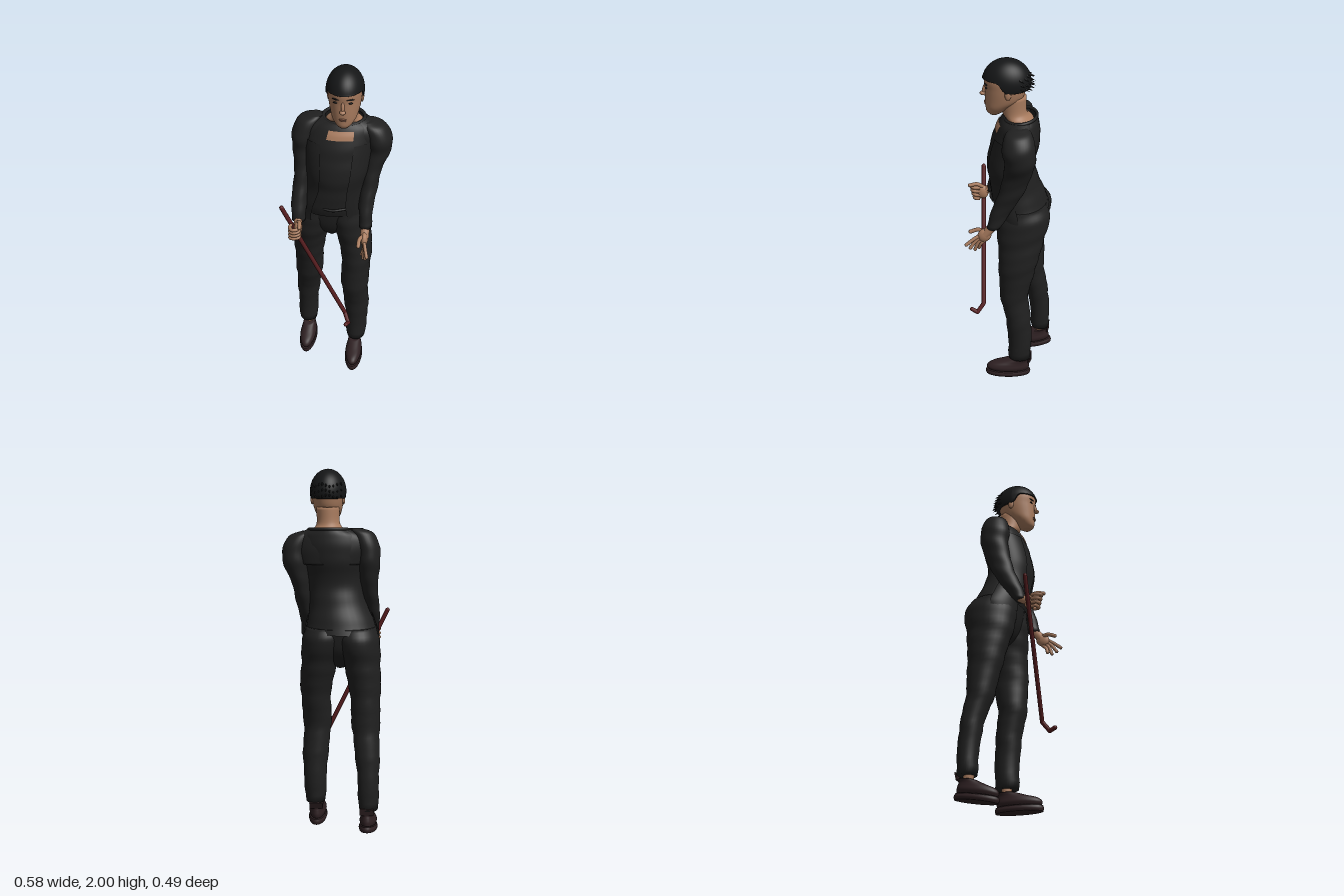
import * as THREE from 'three';
import { mergeVertices } from 'three/addons/utils/BufferGeometryUtils.js';

const mat = (name, color) => Object.assign(new THREE.MeshStandardMaterial({ color, side: THREE.DoubleSide }), { name });
const cloth = mat('black cloth', 0x202020);
const skin = mat('skin', 0xa87b5e);
const hairMat = mat('hair', 0x151617);
const leather = mat('brown leather', 0x2e2022);
const wood = mat('red wood', 0x551c1e);
const lipMat = mat('lips', 0x8c5e48);

const mesh = (parent, name, geo, material, pos = [0, 0, 0]) => {
  const m = new THREE.Mesh(geo, material);
  m.name = name;
  m.position.set(...pos);
  parent.add(m);
  return m;
};

const ball = (parent, name, material, pos, scale, seg = 20) => {
  const m = mesh(parent, name, new THREE.SphereGeometry(1, seg, seg * 0.7 | 0), material, pos);
  m.scale.set(...scale);
  return m;
};

// Smooth skin over elliptical sections [x, y, z, rx, rz], listed from low to high
function loft(rings, { a0 = 0, a1 = Math.PI * 2, grow = 0, fold = 0, bottom = true, top = true } = {}) {
  const N = 32, M = (rings.length - 1) * 6;
  const mid = new THREE.CatmullRomCurve3(rings.map(r => new THREE.Vector3(r[0], r[1], r[2])), false, 'catmullrom');
  const rad = new THREE.CatmullRomCurve3(rings.map(r => new THREE.Vector3(r[3], r[4], 0)), false, 'catmullrom');
  const pos = [], idx = [];
  for (let i = 0; i <= M; i++) {
    const c = mid.getPoint(i / M), r = rad.getPoint(i / M);
    for (let j = 0; j <= N; j++) {
      const a = a0 + (a1 - a0) * j / N;
      const g = grow + fold * Math.sin(c.y * 48 + 2 * Math.sin(a)) * Math.sin(c.y * 17 + 1);
      pos.push(c.x + (r.x + g) * Math.cos(a), c.y, c.z + (r.y + g) * Math.sin(a));
      if (i < M && j < N) {
        const p = i * (N + 1) + j, q = p + N + 1;
        idx.push(p, q, p + 1, p + 1, q, q + 1);
      }
    }
  }
  const cap = (ring, row, up) => {
    const centre = pos.length / 3;
    pos.push(ring[0], ring[1], ring[2]);
    for (let j = 0; j < N; j++) {
      const p = row * (N + 1) + j;
      idx.push(centre, ...(up ? [p + 1, p] : [p, p + 1]));
    }
  };
  if (bottom) cap(rings[0], 0, false);
  if (top) cap(rings[rings.length - 1], M, true);
  let g = new THREE.BufferGeometry();
  g.setAttribute('position', new THREE.Float32BufferAttribute(pos, 3));
  g.setIndex(idx);
  g = mergeVertices(g, 1e-5);
  g.computeVertexNormals();
  return g;
}

const tube = (points, r) => new THREE.TubeGeometry(
  new THREE.CatmullRomCurve3(points.map(p => new THREE.Vector3(...p))), 16, r, 10);

function finger(parent, name, points, r = 0.0095) {
  mesh(parent, name, tube(points, r), skin);
  ball(parent, name + 'Tip', skin, points[points.length - 1], [r, r, r], 10);
}

function addHead(model) {
  const head = new THREE.Group();
  head.name = 'head';
  model.add(head);
  const cx = 0.044;
  mesh(head, 'face', loft([
    [cx, 1.70, 0.085, 0.022, 0.022], [cx, 1.72, 0.078, 0.042, 0.047], [cx, 1.75, 0.063, 0.062, 0.066],
    [cx, 1.79, 0.036, 0.076, 0.096], [cx, 1.85, 0.026, 0.086, 0.106], [cx, 1.91, 0.024, 0.087, 0.11],
    [cx, 1.97, 0.02, 0.06, 0.07]]), skin);
  mesh(head, 'neck', loft([
    [0.032, 1.62, -0.05, 0.115, 0.07], [0.033, 1.672, -0.048, 0.096, 0.07],
    [0.038, 1.71, -0.02, 0.064, 0.064], [0.042, 1.80, -0.012, 0.062, 0.068]]), skin);
  ball(head, 'noseBridge', skin, [cx, 1.836, 0.134], [0.009, 0.032, 0.011], 14).rotation.x = -0.25;
  ball(head, 'noseTip', skin, [cx, 1.813, 0.143], [0.016, 0.011, 0.015], 14);
  ball(head, 'upperLip', lipMat, [cx, 1.766, 0.13], [0.021, 0.004, 0.007], 12);
  ball(head, 'lowerLip', lipMat, [cx, 1.758, 0.127], [0.017, 0.005, 0.008], 12);
  for (const s of [-1, 1]) {
    ball(head, 'eye', hairMat, [cx + s * 0.036, 1.857, 0.122], [0.014, 0.004, 0.006], 12);
    const brow = ball(head, 'brow', hairMat, [cx + s * 0.037, 1.877, 0.125], [0.02, 0.004, 0.006], 12);
    brow.rotation.y = s * 0.35;
    ball(head, 'ear', skin, [cx + s * 0.085, 1.84, 0.012], [0.009, 0.03, 0.017], 12);
  }
  // Hair dome, cut along a fringe that drops toward the nape
  const dome = new THREE.SphereGeometry(1, 40, 36).scale(0.098, 0.12, 0.125).translate(0.043, 1.88, 0.02);
  const p = dome.attributes.position;
  for (let i = 0; i < p.count; i++) {
    const rim = 1.903 - 0.058 * THREE.MathUtils.smoothstep(-p.getZ(i), -0.07, -0.02);
    p.setY(i, Math.max(p.getY(i), rim));
  }
  dome.computeVertexNormals();
  mesh(head, 'hair', dome, hairMat);
  for (let i = 0; i < 27; i++) {
    const u = (i % 9) / 4 - 1, row = i / 9 | 0;
    const tuft = mesh(head, 'hairTuft', new THREE.ConeGeometry(0.018, 0.075, 6), hairMat,
      [0.043 + u * 0.07, 1.865 + row * 0.028 + 0.006 * Math.sin(i * 5), -0.092 + 0.05 * u * u + row * 0.002]);
    tuft.rotation.set(-1.95, 0, -u * 0.35);
  }
}

function addJacket(model) {
  const body = [
    [-0.035, 1.13, -0.058, 0.2, 0.15], [-0.03, 1.2, -0.04, 0.178, 0.148], [-0.012, 1.3, -0.015, 0.152, 0.133],
    [0, 1.4, 0, 0.16, 0.128], [0.005, 1.5, -0.017, 0.17, 0.13], [0.01, 1.58, -0.032, 0.18, 0.122],
    [0.02, 1.65, -0.045, 0.165, 0.102], [0.03, 1.685, -0.052, 0.105, 0.085]];
  mesh(model, 'jacketBody', loft(body, { bottom: false, top: false, fold: 0.002 }), cloth);
  mesh(model, 'shoulderYoke', loft([
    [0.018, 1.5, -0.045, 0.19, 0.1], [0.018, 1.57, -0.042, 0.21, 0.106], [0.018, 1.62, -0.042, 0.208, 0.1],
    [0.02, 1.655, -0.045, 0.18, 0.09], [0.028, 1.685, -0.052, 0.115, 0.078]], { top: false }), cloth);
  // Open front panels reaching below the hem
  const panel = [[-0.035, 1.085, -0.055, 0.2, 0.142], ...body.slice(0, 6)];
  for (const [a0, a1] of [[0.1, 1.08], [2.06, 3.04]])
    mesh(model, 'jacketPanel', loft(panel, { a0, a1, grow: 0.007, bottom: false, top: false }), cloth);
  // Bare chest in the neckline and the band above it
  mesh(model, 'chest', loft([[0.0135, 1.607, -0.037, 0.176, 0.116], [0.017, 1.63, -0.041, 0.171, 0.111], [0.02, 1.651, -0.045, 0.165, 0.102]],
    { a0: 1.12, a1: 1.92, grow: 0.004, bottom: false, top: false }), skin);
  const collar = mesh(model, 'collar', new THREE.TorusGeometry(1, 0.09, 10, 40).scale(0.108, 0.084, 0.1), cloth, [0.03, 1.682, -0.052]);
  collar.rotation.x = Math.PI / 2 + 0.1;
  mesh(model, 'waistTie', tube([[-0.12, 1.19, 0.075], [-0.02, 1.185, 0.112], [0.06, 1.19, 0.095]], 0.007), cloth);
  // Sleeves with full shoulders
  mesh(model, 'leftSleeve', loft([
    [0.165, 1.085, 0.09, 0.034, 0.036], [0.163, 1.2, 0.04, 0.04, 0.055], [0.175, 1.3, -0.003, 0.046, 0.065],
    [0.187, 1.4, -0.035, 0.052, 0.072], [0.212, 1.5, -0.05, 0.068, 0.08], [0.213, 1.58, -0.045, 0.071, 0.086],
    [0.185, 1.645, -0.045, 0.063, 0.07], [0.15, 1.672, -0.045, 0.03, 0.04]], { fold: 0.0025 }), cloth);
  mesh(model, 'rightSleeve', loft([
    [-0.195, 1.115, 0.115, 0.038, 0.03], [-0.197, 1.2, 0.07, 0.042, 0.05], [-0.19, 1.3, 0.02, 0.044, 0.06],
    [-0.182, 1.4, -0.02, 0.05, 0.07], [-0.182, 1.5, -0.04, 0.061, 0.078], [-0.178, 1.58, -0.04, 0.066, 0.082],
    [-0.15, 1.66, -0.045, 0.06, 0.064], [-0.115, 1.688, -0.045, 0.035, 0.035]], { fold: 0.0025 }), cloth);
}

function addTrousers(model) {
  mesh(model, 'trouserSeat', loft([
    [-0.033, 0.935, -0.055, 0.025, 0.045], [-0.035, 0.98, -0.055, 0.09, 0.085],
    [-0.035, 1.05, -0.06, 0.165, 0.12], [-0.035, 1.16, -0.06, 0.19, 0.14]]), cloth);
  mesh(model, 'leftTrouserLeg', loft([
    [0.108, 0.16, -0.055, 0.055, 0.064], [0.11, 0.4, -0.05, 0.069, 0.07], [0.1, 0.6, -0.022, 0.077, 0.08],
    [0.106, 0.8, -0.04, 0.085, 0.105], [0.085, 0.95, -0.055, 0.1, 0.125], [0.06, 1.08, -0.067, 0.117, 0.147],
    [0.05, 1.16, -0.06, 0.11, 0.13]], { fold: 0.004 }), cloth);
  mesh(model, 'rightTrouserLeg', loft([
    [-0.198, 0.16, -0.175, 0.053, 0.054], [-0.192, 0.4, -0.16, 0.063, 0.06], [-0.177, 0.6, -0.115, 0.076, 0.076],
    [-0.17, 0.8, -0.09, 0.085, 0.1], [-0.153, 0.95, -0.075, 0.1, 0.125], [-0.13, 1.08, -0.077, 0.117, 0.147],
    [-0.12, 1.16, -0.06, 0.11, 0.13]], { fold: 0.004 }), cloth);
}

// Shoe of length len with its heel at z = 0 and its sole at y = 0
function addShoe(model, name, len, pos, tilt, yaw) {
  const shoe = new THREE.Group();
  shoe.name = name;
  mesh(shoe, 'sole', loft([
    [0, 0, len / 2, 0.047, len / 2 - 0.004], [0, 0.016, len / 2, 0.052, len / 2], [0, 0.032, len / 2, 0.047, len / 2 - 0.004]]), leather);
  mesh(shoe, 'upper', loft([
    [0, 0.034, len / 2, 0.042, len / 2 - 0.012], [0, 0.055, len / 2, 0.048, len / 2 - 0.008],
    [0, 0.076, len * 0.46, 0.043, len * 0.42], [0, 0.092, len * 0.36, 0.038, len * 0.31], [0, 0.11, len * 0.24, 0.036, len * 0.21]]), leather);
  mesh(shoe, 'ankle', new THREE.CylinderGeometry(0.028, 0.028, 0.09, 16), skin, [0, 0.13, len * 0.24]);
  const tab = mesh(shoe, 'heelTab', new THREE.BoxGeometry(0.075, 0.04, 0.009), leather, [0, 0.115, 0.005]);
  tab.rotation.x = -0.4;
  shoe.position.set(...pos);
  shoe.rotation.set(tilt, yaw, 0);
  model.add(shoe);
}

function addHands(model) {
  const left = new THREE.Group(), right = new THREE.Group();
  left.name = 'leftHand';
  right.name = 'rightHand';
  model.add(left, right);
  // Relaxed left hand
  mesh(left, 'wrist', tube([[0.165, 1.1, 0.085], [0.165, 1.07, 0.11], [0.165, 1.04, 0.135]], 0.024), skin);
  ball(left, 'palm', skin, [0.165, 1.035, 0.138], [0.02, 0.042, 0.036]).rotation.x = -0.6;
  const tips = [[0.188, 0.985, 0.236], [0.178, 0.96, 0.215], [0.165, 0.943, 0.19], [0.155, 0.95, 0.168]];
  tips.forEach((t, i) => finger(left, 'finger', [
    [0.166, 1.035 - i * 0.009, 0.16 - i * 0.01], [0.175 - i * 0.004, 1.015 - i * 0.012, 0.195 - i * 0.012], t]));
  finger(left, 'thumb', [[0.158, 1.055, 0.14], [0.142, 1.055, 0.175], [0.14, 1.04, 0.215]], 0.011);
  // Right hand closed around the cane
  mesh(right, 'wrist', tube([[-0.195, 1.13, 0.11], [-0.195, 1.115, 0.135], [-0.195, 1.105, 0.16]], 0.023), skin);
  ball(right, 'palm', skin, [-0.19, 1.1, 0.165], [0.022, 0.042, 0.034]);
  for (let i = 0; i < 4; i++) {
    const y = 1.13 - i * 0.023;
    finger(right, 'finger', [[-0.18, y, 0.18], [-0.182, y, 0.222 - i * 0.005], [-0.21, y - 0.004, 0.232 - i * 0.006],
      [-0.23, y - 0.006, 0.205], [-0.226, y - 0.006, 0.185]]);
  }
  finger(right, 'thumb', [[-0.19, 1.13, 0.16], [-0.178, 1.155, 0.195], [-0.172, 1.15, 0.236]], 0.011);
}

function addCane(model) {
  const pts = [[-0.278, 1.218, 0.162], [0.064, 0.505, 0.155], [0.088, 0.46, 0.19], [0.077, 0.472, 0.222]]
    .map(p => new THREE.Vector3(...p));
  for (let i = 0; i < 3; i++)
    mesh(model, 'caneSegment', new THREE.TubeGeometry(new THREE.LineCurve3(pts[i], pts[i + 1]), 1, 0.012, 12), wood);
  pts.forEach(p => ball(model, 'caneJoint', wood, p.toArray(), [0.012, 0.012, 0.012], 12));
}

export function createModel() {
  const model = new THREE.Group();
  model.name = 'standingFigure';
  addHead(model);
  addJacket(model);
  addTrousers(model);
  addShoe(model, 'leftShoe', 0.265, [0.1, 0.03, -0.118], 0, 0.02);
  addShoe(model, 'rightShoe', 0.245, [-0.19, 0.042, -0.245], 0.17, -0.03);
  addHands(model);
  addCane(model);
  return model;
}
